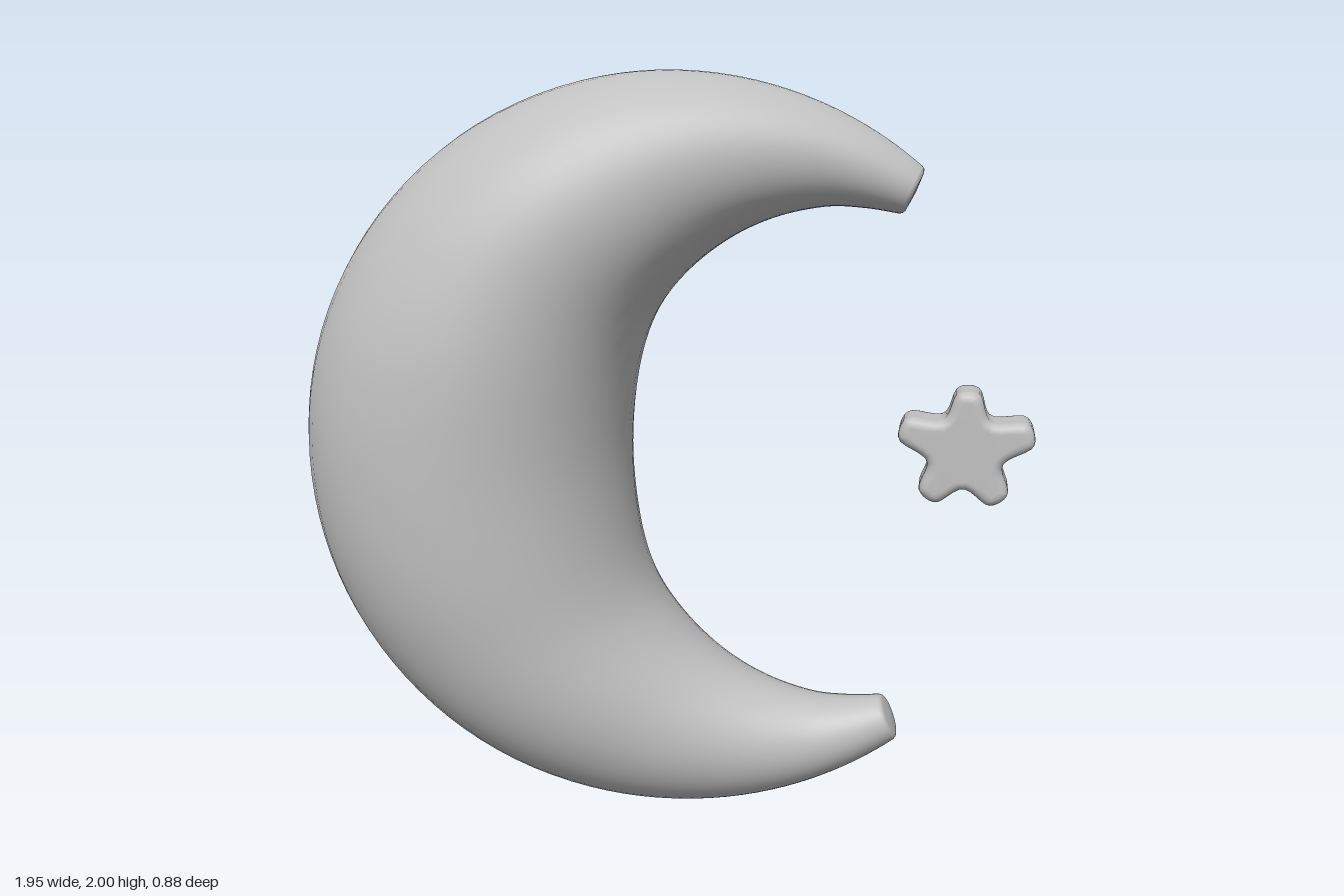
import * as THREE from 'three';
import { mergeVertices } from 'three/addons/utils/BufferGeometryUtils.js';

const V = (x, y, z = 0) => new THREE.Vector3(x, y, z);
const SIDES = 48, STEPS = 96;

// Stations from the middle of the crescent to its tip:
// angle on the outer circle, inner edge x, inner edge y above the middle, half depth
const stations = [
  [180, -0.09, 0, 0.44],
  [160, -0.07, 0.215, 0.43],
  [140, -0.022, 0.37, 0.39],
  [120, 0.06, 0.485, 0.335],
  [100, 0.17, 0.577, 0.26],
  [85, 0.29, 0.637, 0.197],
  [70, 0.42, 0.668, 0.137],
  [60, 0.52, 0.667, 0.1],
  [50.5, 0.605, 0.655, 0.066],
];

// Round, tapering crescent swept between the outer circle and the inner edge
function crescentGeometry() {
  const upper = stations.slice().reverse();
  const lower = stations.slice(1).map(([a, x, y, d]) => [360 - a, x, -y, d]);
  const all = [...upper, ...lower];
  const inner = new THREE.CatmullRomCurve3(all.map(s => V(s[1], 1 + s[2])), false, 'catmullrom', 0.5);
  const data = new THREE.CatmullRomCurve3(all.map(s => V(s[0] / 100, s[3])), false, 'catmullrom', 0.5);

  const rings = [];
  for (let i = 0; i <= STEPS; i++) {
    const p = inner.getPoint(i / STEPS), q = data.getPoint(i / STEPS);
    const a = THREE.MathUtils.degToRad(q.x * 100);
    const outer = V(0.02 + Math.cos(a), 1 + Math.sin(a));
    rings.push({
      center: outer.clone().add(p).multiplyScalar(0.5),
      half: outer.clone().sub(p).multiplyScalar(0.5),
      depth: q.y,
    });
  }

  // Slightly domed tips
  const cap = (r, sign) => [[0.93, 0.007], [0.8, 0.011], [0.001, 0.014]].map(([s, push]) => ({
    center: r.center.clone().add(V(-r.half.y, r.half.x).normalize().multiplyScalar(sign * push)),
    half: r.half.clone().multiplyScalar(s),
    depth: r.depth * s,
  }));
  const loops = [...cap(rings[0], -1).reverse(), ...rings, ...cap(rings[STEPS], 1)];

  const pos = [], idx = [];
  loops.forEach((r, i) => {
    for (let j = 0; j < SIDES; j++) {
      const t = (j / SIDES) * Math.PI * 2;
      const p = r.center.clone().addScaledVector(r.half, Math.cos(t));
      pos.push(p.x, p.y, r.depth * Math.sin(t));
      if (i === loops.length - 1) continue;
      const a = i * SIDES + j, b = i * SIDES + (j + 1) % SIDES;
      idx.push(a, a + SIDES, b, b, a + SIDES, b + SIDES);
    }
  });
  const g = new THREE.BufferGeometry();
  g.setAttribute('position', new THREE.Float32BufferAttribute(pos, 3));
  g.setIndex(idx);
  g.computeVertexNormals();
  return g;
}

// Soft five-pointed star with blunt tips and rounded rims
function starGeometry() {
  const pts = [];
  const tipRadius = [0.16, 0.178, 0.163, 0.163, 0.178];
  for (let k = 0; k < 5; k++) {
    const a = Math.PI / 2 + k * Math.PI * 0.4;
    for (const [da, r] of [[-0.17, tipRadius[k] - 0.007], [0.17, tipRadius[k] - 0.007], [Math.PI / 5, 0.1]])
      pts.push(V(r * Math.cos(a + da), r * Math.sin(a + da)));
  }
  const outline = new THREE.CatmullRomCurve3(pts, true, 'centripetal').getPoints(80).slice(0, -1);
  const bevel = 0.024;
  let g = new THREE.ExtrudeGeometry(new THREE.Shape(outline.map(p => new THREE.Vector2(p.x, p.y))), {
    depth: 0.12 - 2 * bevel, bevelEnabled: true, bevelThickness: bevel,
    bevelSize: bevel, bevelOffset: -bevel, bevelSegments: 5, steps: 1,
  });
  g.translate(0, 0, bevel - 0.06);
  g.deleteAttribute('normal');
  g.deleteAttribute('uv');
  g = mergeVertices(g, 1e-4);
  g.computeVertexNormals();
  return g;
}

export function createModel() {
  const grey = new THREE.MeshStandardMaterial({ color: 0xc0c0c0 });
  grey.name = 'light grey';

  const model = new THREE.Group();
  model.name = 'moonAndStar';

  const moon = new THREE.Mesh(crescentGeometry(), grey);
  moon.name = 'crescentMoon';

  const star = new THREE.Mesh(starGeometry(), grey);
  star.name = 'star';
  star.position.set(0.8, 1.062, 0);

  model.add(moon, star);
  return model;
}
